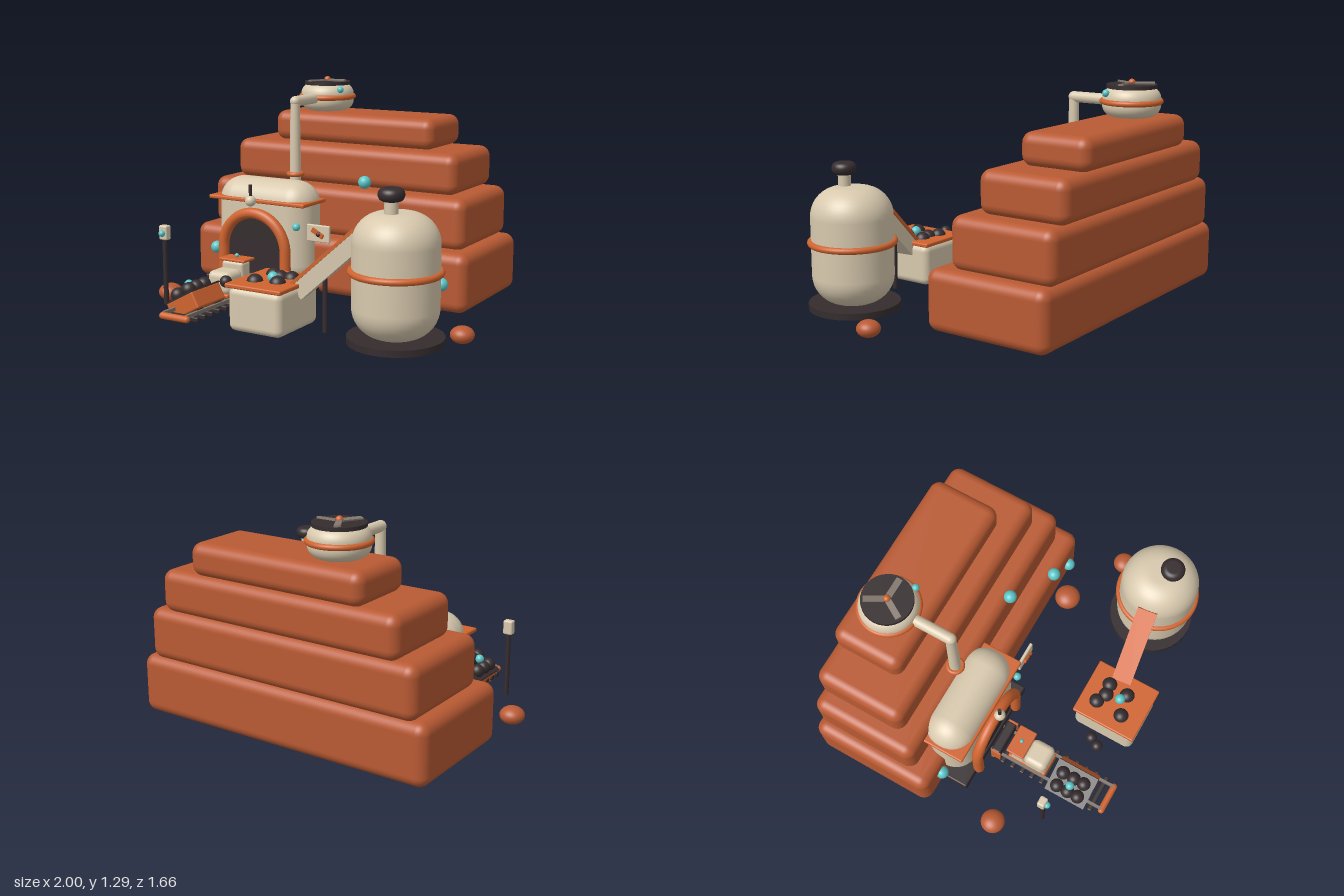
import * as THREE from 'three';
import { RoundedBoxGeometry } from 'three/addons/geometries/RoundedBoxGeometry.js';

const mat = (name, color) => {
  const m = new THREE.MeshStandardMaterial({ color });
  m.name = name;
  return m;
};

export function createModel() {
  const model = new THREE.Group();
  const clay = mat('clay', 0xb95a33), orange = mat('orange', 0xd0642f), cream = mat('cream', 0xd8c9ae);
  const dark = mat('charcoal', 0x352c2e), teal = mat('teal', 0x5cc6c8), grey = mat('warm grey', 0x82776d);

  const add = (name, geo, m, x = 0, y = 0, z = 0, parent = model) => {
    const mesh = new THREE.Mesh(geo, m);
    mesh.name = name;
    mesh.position.set(x, y, z);
    parent.add(mesh);
    return mesh;
  };
  // box given by its limits on each axis, rounded when r > 0
  const block = (name, m, [x0, x1], [y0, y1], [z0, z1], r = 0, parent = model) => {
    const s = [x1 - x0, y1 - y0, z1 - z0];
    const geo = r ? new RoundedBoxGeometry(...s, 5, r) : new THREE.BoxGeometry(...s);
    return add(name, geo, m, (x0 + x1) / 2, (y0 + y1) / 2, (z0 + z1) / 2, parent);
  };
  const ball = (name, m, r, x, y, z, parent = model) =>
    add(name, new THREE.SphereGeometry(r, 24, 16), m, x, y, z, parent);
  const rod = (name, m, r, x, y0, y1, z, rTop = r) =>
    add(name, new THREE.CylinderGeometry(rTop, r, y1 - y0, 32), m, x, (y0 + y1) / 2, z);
  const ring = (name, R, t, x, y, z) => {
    const mesh = add(name, new THREE.TorusGeometry(R, t, 12, 48), orange, x, y, z);
    mesh.rotation.x = Math.PI / 2;
    return mesh;
  };
  // upright solid of revolution with rounded shoulders
  const pod = (name, m, R, y0, y1, bend, x, z) => {
    const pts = [new THREE.Vector2(0, y0)];
    for (let i = 0; i <= 10; i++) {
      const a = (i / 10 - 1) * Math.PI / 2;
      pts.push(new THREE.Vector2(R - bend + bend * Math.cos(a), y0 + bend + bend * Math.sin(a)));
    }
    for (let i = 0; i <= 10; i++) {
      const a = i / 10 * Math.PI / 2;
      pts.push(new THREE.Vector2(R - bend + bend * Math.cos(a), y1 - bend + bend * Math.sin(a)));
    }
    pts.push(new THREE.Vector2(0, y1));
    return add(name, new THREE.LatheGeometry(pts, 48), m, x, 0, z);
  };

  // stepped hill
  [
    [[-1, 0.815], [0.065, 0.4], [-0.83, -0.09]],
    [[-0.935, 0.748], [0.39, 0.68], [-0.827, -0.195]],
    [[-0.835, 0.647], [0.675, 0.91], [-0.832, -0.3]],
    [[-0.63, 0.445], [0.905, 1.085], [-0.827, -0.413]],
  ].forEach((b, i) => block('hillStep' + (i + 1), clay, ...b, 0.06));

  // scattered rocks
  [[0.55, -0.01, 0.078], [-0.905, 0.29, 0.071], [0.93, 0.19, 0.065]].forEach(([x, z, r]) =>
    ball('rock', clay, r, x, 0.057, z).scale.y = 0.72);

  // crystals on the hill and furnace
  [[0.14, 0.735, -0.18, 0.037], [0.48, 0.48, -0.08, 0.037], [0.68, 0.23, -0.08, 0.037],
    [-0.835, 0.265, -0.08, 0.037], [-0.18, 0.48, 0.045, 0.023]].forEach(([x, y, z, r]) =>
    ball('crystal', teal, r, x, y, z));

  // furnace
  block('furnaceBase', dark, [-0.82, -0.115], [0.06, 0.128], [-0.25, 0.062], 0.01);
  block('furnaceBody', cream, [-0.78, -0.14], [0.1, 0.72], [-0.25, 0.035], 0.135);
  block('furnaceBand', orange, [-0.795, -0.13], [0.592, 0.615], [-0.25, 0.047], 0.008);
  const door = new THREE.Shape();
  door.moveTo(-0.2, -0.21).lineTo(0.2, -0.21).lineTo(0.2, 0).absarc(0, 0, 0.2, 0, Math.PI, false);
  add('furnaceMouth', new THREE.ExtrudeGeometry(door, { depth: 0.02, bevelEnabled: false, curveSegments: 24 }),
    dark, -0.46, 0.32, 0.03);
  add('mouthArch', new THREE.TorusGeometry(0.216, 0.032, 14, 40, Math.PI), orange, -0.46, 0.32, 0.065);
  for (const s of [-1, 1]) rod('archLeg', orange, 0.032, -0.46 + s * 0.216, 0.11, 0.32, 0.065);
  rod('gaugePin', dark, 0.01, -0.46, 0.62, 0.71, 0.095);
  ball('gaugeKnob', cream, 0.032, -0.46, 0.614, 0.095);

  // control panel
  block('panel', cream, [-0.12, 0.03], [0.405, 0.503], [0.012, 0.03], 0.006);
  const lever = block('panelLever', orange, [-0.083, -0.003], [0.445, 0.47], [0.03, 0.045]);
  lever.rotation.z = -0.5;
  ball('panelPivot', dark, 0.014, -0.035, 0.452, 0.04);

  // exhaust pipe
  ring('pipeCollar', 0.04, 0.014, -0.365, 0.735, -0.24);
  rod('pipeRiser', cream, 0.034, -0.365, 0.69, 1.168, -0.24, 0.028);
  ball('pipeElbow', cream, 0.031, -0.365, 1.167, -0.24);
  const duct = add('pipeDuct', new THREE.CylinderGeometry(0.031, 0.031, 0.28, 24), cream, -0.365, 1.167, -0.38);
  duct.rotation.x = Math.PI / 2;

  // ventilator
  const vx = -0.365, vz = -0.612;
  pod('ventHousing', cream, 0.162, 1.085, 1.25, 0.065, vx, vz);
  ring('ventBand', 0.16, 0.016, vx, 1.17, vz);
  rod('ventGrille', dark, 0.14, vx, 1.243, 1.263, vz);
  for (let i = 0; i < 3; i++) {
    const blade = new THREE.Group();
    blade.name = 'fanBlade';
    blade.position.set(vx, 1.268, vz);
    blade.rotation.y = i * Math.PI * 2 / 3;
    block('blade', grey, [0.015, 0.125], [-0.005, 0.005], [-0.017, 0.017], 0, blade).rotation.x = 0.15;
    model.add(blade);
  }
  ball('fanHub', orange, 0.02, vx, 1.272, vz);
  ball('ventCrystal', teal, 0.02, -0.225, 1.22, -0.53);

  // storage tank
  rod('tankBase', dark, 0.252, 0.7, 0.062, 0.098, 0.495);
  pod('tankBody', cream, 0.225, 0.09, 0.735, 0.16, 0.7, 0.5);
  ring('tankBand', 0.228, 0.018, 0.7, 0.432, 0.5);
  rod('tankNeck', cream, 0.035, 0.697, 0.7, 0.81, 0.552);
  pod('tankCap', dark, 0.068, 0.795, 0.865, 0.033, 0.697, 0.552);

  // hopper with coal
  block('hopper', cream, [-0.14, 0.19], [0.065, 0.305], [0.405, 0.785], 0.04);
  block('hopperLid', orange, [-0.15, 0.195], [0.298, 0.322], [0.396, 0.79], 0.008);
  [[-0.035, 0.495], [0.025, 0.525], [0.09, 0.515], [-0.045, 0.66], [0.08, 0.635]].forEach(([x, z]) =>
    ball('hopperCoal', dark, 0.045, x, 0.312, z));
  ball('hopperCrystal', teal, 0.03, 0.035, 0.338, 0.61);
  ball('looseCoal', dark, 0.033, -0.22, 0.23, 0.565);
  ball('looseCoal', dark, 0.033, -0.262, 0.278, 0.62);

  // chute from tank to hopper
  const chute = new THREE.Group();
  chute.name = 'chute';
  chute.position.set(0.345, 0.435, 0.54);
  chute.rotation.set(0, 0.12, 0.74, 'YZX');
  block('chuteBody', cream, [-0.24, 0.24], [-0.045, 0.04], [-0.05, 0.05], 0, chute);
  block('chuteTop', orange, [-0.25, 0.24], [0.04, 0.058], [-0.058, 0.058], 0, chute);
  model.add(chute);
  rod('chutePost', dark, 0.014, 0.31, 0.065, 0.38, 0.54);

  // lamp post
  rod('lampPost', dark, 0.014, -0.745, 0.065, 0.44, 0.53);
  block('lampBox', cream, [-0.774, -0.718], [0.435, 0.518], [0.505, 0.55], 0.01);
  ball('lampLight', teal, 0.019, -0.745, 0.475, 0.556);

  // track
  for (let i = 0; i < 11; i++)
    block('sleeper', dark, [-0.58, -0.348], [0.068, 0.098], [0.085 + i * 0.065, 0.115 + i * 0.065], 0.008);
  for (const x of [-0.54, -0.388]) block('rail', grey, [x - 0.008, x + 0.008], [0.098, 0.118], [0.07, 0.81]);
  const stop = add('bufferStop', new THREE.CapsuleGeometry(0.019, 0.16, 6, 16), orange, -0.464, 0.095, 0.812);
  stop.rotation.z = Math.PI / 2;

  // tender by the furnace mouth
  block('tender', dark, [-0.565, -0.36], [0.12, 0.2], [0.085, 0.145], 0.012);
  for (const x of [-0.568, -0.36]) block('tenderSide', orange, [x - 0.006, x + 0.006], [0.1, 0.205], [0.09, 0.15]);

  // small engine
  block('engineChassis', orange, [-0.535, -0.39], [0.115, 0.14], [0.18, 0.43], 0.01);
  block('engineCab', cream, [-0.535, -0.39], [0.13, 0.295], [0.2, 0.288], 0.02);
  block('engineRoof', orange, [-0.55, -0.376], [0.292, 0.308], [0.18, 0.29], 0.006);
  block('engineBoiler', cream, [-0.54, -0.385], [0.13, 0.26], [0.28, 0.425], 0.035);
  ball('engineCrystal', teal, 0.012, -0.462, 0.32, 0.235);

  // tipping cart with coal
  const cart = new THREE.Group();
  cart.name = 'cart';
  cart.position.set(-0.485, 0.132, 0.593);
  cart.rotation.z = 0.5;
  block('cartTub', orange, [-0.1, 0.1], [-0.05, 0.05], [-0.125, 0.125], 0.01, cart);
  block('cartBed', dark, [-0.102, 0.102], [0.045, 0.055], [-0.128, 0.128], 0, cart);
  for (const x of [-0.065, 0.065]) for (const z of [-0.075, 0.085]) {
    const wheel = add('cartWheel', new THREE.CylinderGeometry(0.03, 0.03, 0.02, 20), dark, x, -0.06, z, cart);
    wheel.rotation.z = Math.PI / 2;
  }
  for (const x of [-0.045, 0.04]) for (const z of [-0.07, 0, 0.065])
    ball('cartCoal', dark, 0.04, x, 0.07, z, cart);
  ball('cartCrystal', teal, 0.026, 0.0, 0.1, 0, cart);
  model.add(cart);

  return model;
}
